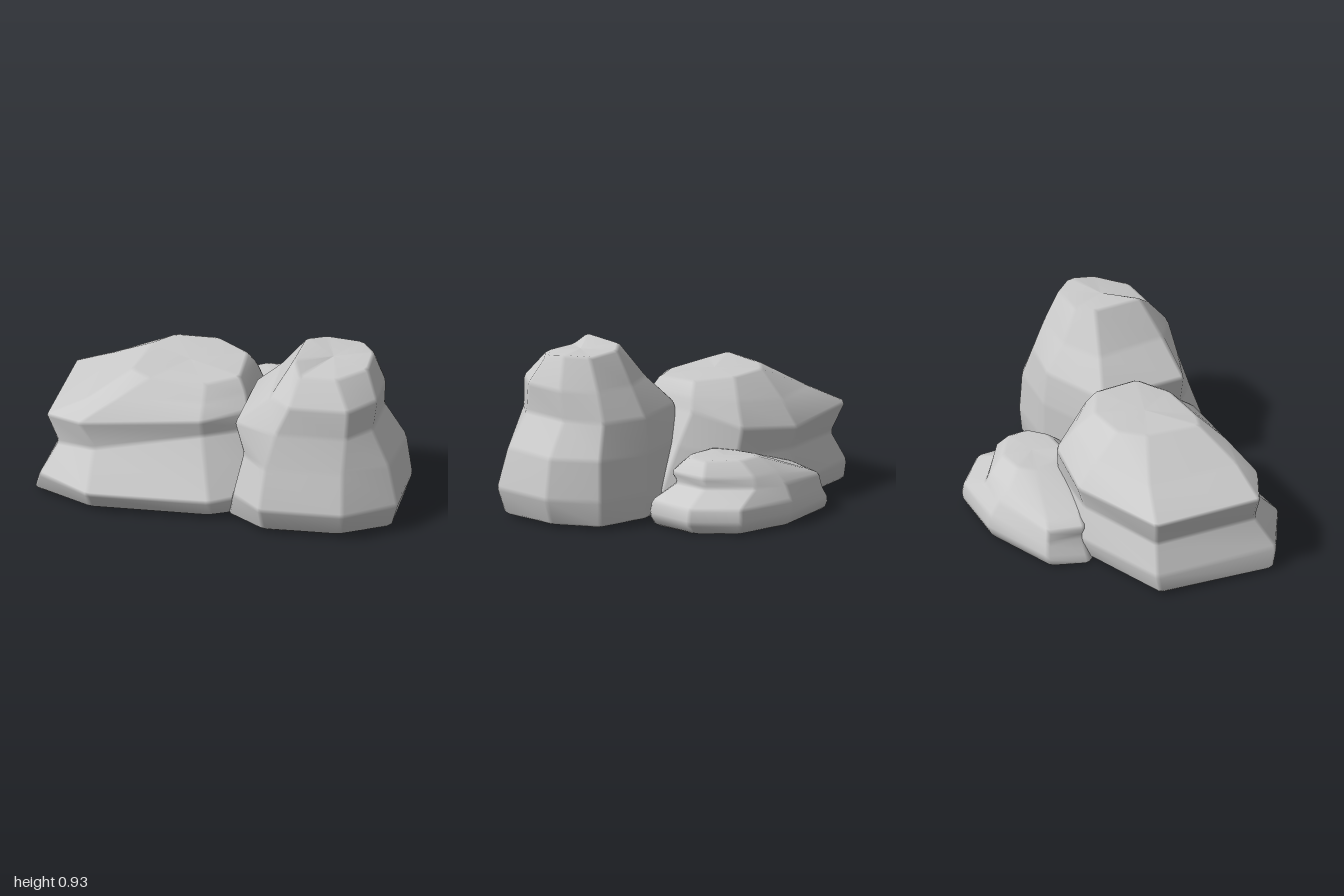
import * as THREE from 'three';

const BEVEL = 0.015;

// Replace each corner of a path by two nearby points, which makes a narrow bevel
function cutCorners(points, closed) {
  const out = [];
  const n = points.length;
  points.forEach((p, i) => {
    if (!closed && (i === 0 || i === n - 1)) return out.push(p.clone());
    for (const q of [points[(i + n - 1) % n], points[(i + 1) % n]]) {
      const len = p.distanceTo(q);
      out.push(p.clone().lerp(q, len > 0 ? Math.min(BEVEL, len * 0.3) / len : 0));
    }
  });
  return out;
}

// Loft a boulder through rings of eight [x, z, y] corners, listed from the bottom up,
// each ring running back-left, back, right, front, left
function boulder(name, rings, material) {
  const rows = rings.map(([y, pts]) =>
    cutCorners(pts.map(([x, z, py = y]) => new THREE.Vector3(x, py, z)), true));
  const cols = rows[0].length;

  // Close both ends with a centre point
  const centre = (row) => {
    const c = new THREE.Vector3();
    row.forEach((p) => c.addScaledVector(p, 1 / cols));
    return row.map(() => c.clone());
  };
  const all = [centre(rows[0]), ...rows, centre(rows[rows.length - 1])];

  // Bevel every column from bottom to top
  const columns = [];
  for (let c = 0; c < cols; c++) columns.push(cutCorners(all.map((row) => row[c]), false));
  const height = columns[0].length;

  const positions = [];
  columns.forEach((col) => col.forEach((p) => positions.push(p.x, p.y, p.z)));
  const index = [];
  for (let c = 0; c < cols; c++) {
    for (let r = 0; r < height - 1; r++) {
      const a = c * height + r;
      const b = ((c + 1) % cols) * height + r;
      if (r < height - 2) index.push(a, a + 1, b + 1);
      else index.push(a, a + 1, b);
      if (r > 0 && r < height - 2) index.push(a, b + 1, b);
    }
  }
  const geometry = new THREE.BufferGeometry();
  geometry.setAttribute('position', new THREE.Float32BufferAttribute(positions, 3));
  geometry.setIndex(index);
  geometry.computeVertexNormals();
  const mesh = new THREE.Mesh(geometry, material);
  mesh.name = name;
  return mesh;
}

// Broad boulder: splayed foot running under the tall one, undercut waist, ledge, sloping shoulders
const broadRings = [
  [0.01, [[-0.91, -0.23], [-0.36, -0.39], [0.01, -0.33], [0.33, -0.05], [0.24, 0.43], [-0.04, 0.56], [-0.68, 0.57], [-1.01, 0.41]]],
  [0.12, [[-0.91, -0.25], [-0.35, -0.42], [0.03, -0.35], [0.35, -0.07], [0.26, 0.43], [-0.03, 0.62], [-0.69, 0.64], [-0.98, 0.45]]],
  [0.3, [[-0.83, -0.21, 0.28], [-0.35, -0.37], [0.02, -0.32], [0.23, -0.08, 0.36], [0.15, 0.3, 0.42], [-0.1, 0.42, 0.42], [-0.68, 0.46, 0.31], [-0.89, 0.37, 0.28]]],
  [0.5, [[-0.9, -0.25, 0.44], [-0.35, -0.41, 0.42], [0.0, -0.34, 0.46], [0.14, -0.1, 0.54], [0.13, 0.3, 0.53], [-0.1, 0.46, 0.52], [-0.76, 0.47, 0.46], [-0.96, 0.36, 0.44]]],
  [0.6, [[-0.69, -0.17, 0.55], [-0.35, -0.3, 0.56], [-0.05, -0.26, 0.59], [0.12, -0.08, 0.61], [0.11, 0.24, 0.6], [-0.1, 0.37, 0.59], [-0.56, 0.39, 0.59], [-0.74, 0.35, 0.55]]],
  [0.7, [[-0.45, -0.04], [-0.34, -0.16, 0.705], [-0.12, -0.17], [0.07, -0.05, 0.69], [0.07, 0.2, 0.68], [-0.1, 0.3, 0.67], [-0.4, 0.3, 0.68], [-0.51, 0.25]]],
];

// Tall boulder with a narrow crown that dips to the front
const tallRings = [
  [0.015, [[0.16, 0.0], [0.5, -0.11], [0.82, -0.07], [0.95, 0.17], [0.94, 0.52], [0.68, 0.66], [0.27, 0.67], [0.06, 0.53]]],
  [0.16, [[0.15, 0.0], [0.5, -0.12], [0.83, -0.08], [1.0, 0.16], [0.98, 0.54], [0.71, 0.72], [0.26, 0.73], [0.09, 0.57]]],
  [0.38, [[0.14, 0.0], [0.5, -0.12], [0.82, -0.07], [0.97, 0.16], [0.93, 0.51], [0.7, 0.65], [0.28, 0.66], [0.14, 0.51]]],
  [0.57, [[0.13, 0.03], [0.5, -0.1], [0.76, -0.04], [0.85, 0.17], [0.83, 0.46], [0.71, 0.6], [0.33, 0.61], [0.09, 0.51]]],
  [0.73, [[0.28, 0.1], [0.5, 0.0], [0.74, 0.02], [0.86, 0.19], [0.85, 0.43], [0.72, 0.59], [0.4, 0.6], [0.28, 0.49]]],
  [0.92, [[0.43, 0.16, 0.93], [0.52, 0.09, 0.915], [0.72, 0.1, 0.905], [0.8, 0.22, 0.91], [0.79, 0.36, 0.88], [0.64, 0.49, 0.87], [0.44, 0.49, 0.87], [0.4, 0.42, 0.935]]],
];

// Low boulder at the back, with a thin ledge under its top
const lowRings = [
  [0, [[-0.38, -0.59], [0.03, -0.71], [0.38, -0.67], [0.54, -0.48], [0.53, -0.2], [0.35, -0.06], [-0.2, -0.06], [-0.46, -0.4]]],
  [0.06, [[-0.38, -0.62], [0.03, -0.74], [0.39, -0.7], [0.58, -0.49], [0.56, -0.18], [0.35, -0.08], [-0.2, -0.09], [-0.42, -0.4]]],
  [0.14, [[-0.35, -0.6, 0.13], [0.03, -0.73], [0.38, -0.69], [0.57, -0.49], [0.55, -0.19], [0.34, -0.11], [-0.2, -0.11], [-0.38, -0.4]]],
  [0.22, [[-0.34, -0.59, 0.2], [0.02, -0.68], [0.22, -0.65], [0.41, -0.45], [0.41, -0.25], [0.3, -0.18], [-0.18, -0.18], [-0.4, -0.4, 0.2]]],
  [0.28, [[-0.27, -0.56, 0.23], [0.02, -0.62], [0.21, -0.63], [0.43, -0.46], [0.43, -0.22], [0.29, -0.14], [-0.15, -0.15], [-0.32, -0.38, 0.24]]],
  [0.36, [[0.02, -0.45, 0.35], [0.08, -0.53], [0.22, -0.54], [0.37, -0.42], [0.36, -0.31], [0.27, -0.23], [0.12, -0.23], [0.04, -0.32, 0.35]]],
];

export function createModel() {
  const group = new THREE.Group();
  group.name = 'boulderCluster';
  const stone = new THREE.MeshStandardMaterial({ color: 0xcccccc });
  group.add(
    boulder('broadBoulder', broadRings, stone),
    boulder('tallBoulder', tallRings, stone),
    boulder('lowBoulder', lowRings, stone),
  );
  return group;
}
